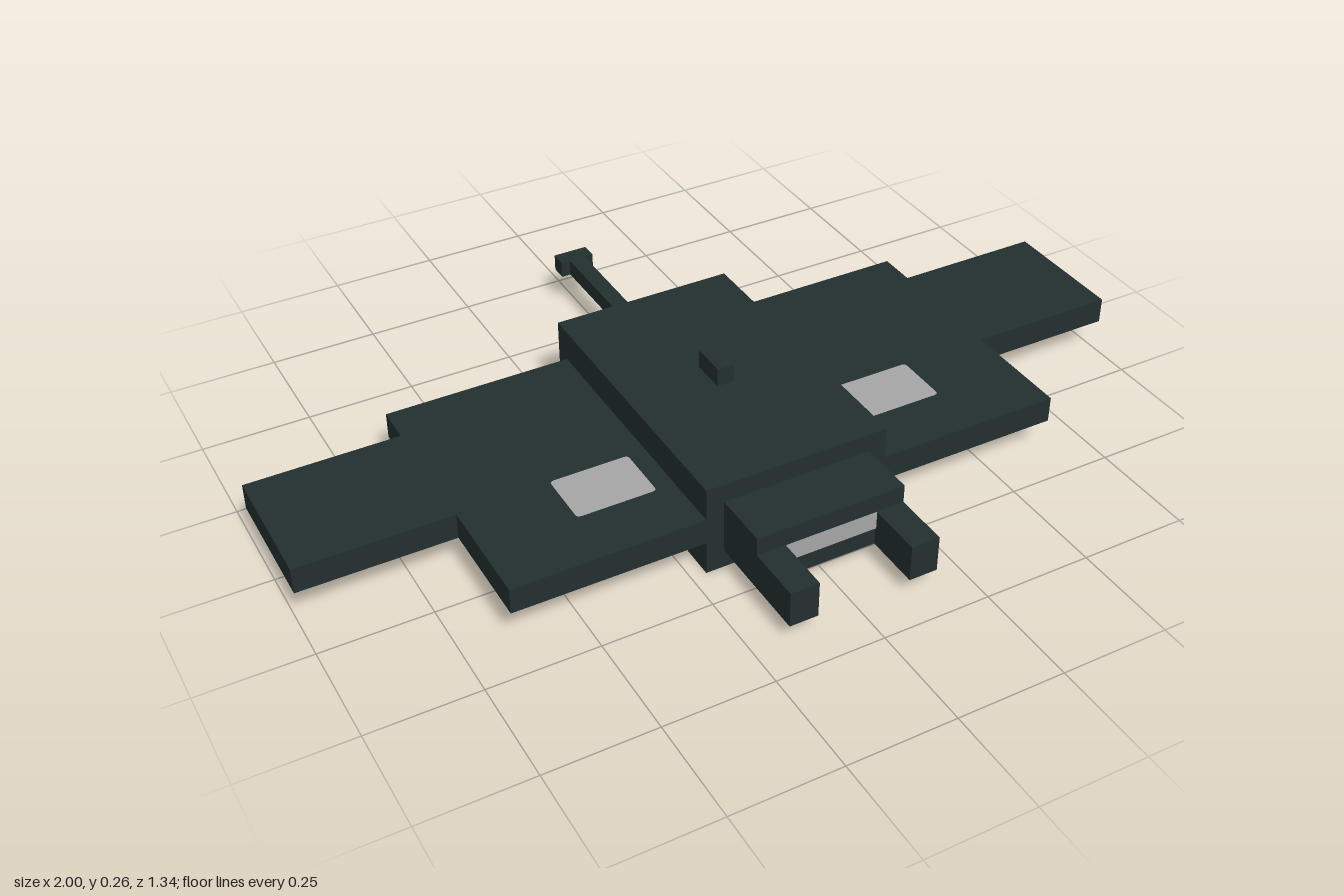
import * as THREE from 'three';

export function createModel() {
  const ray = new THREE.Group();
  ray.name = 'mantaRay';
  const skin = new THREE.MeshStandardMaterial({ color: 0x232f2f });
  skin.name = 'darkSkin';
  const pale = new THREE.MeshStandardMaterial({ color: 0xa6a6a6 });
  pale.name = 'paleGrey';

  // Box given by its limits; the underside may be pale
  function block(name, [x0, x1], [y0, y1], [z0, z1], paleBelly = false) {
    const geometry = new THREE.BoxGeometry(x1 - x0, y1 - y0, z1 - z0);
    const material = paleBelly ? [skin, skin, skin, pale, skin, skin] : skin;
    const mesh = new THREE.Mesh(geometry, material);
    mesh.position.set((x0 + x1) / 2, (y0 + y1) / 2, (z0 + z1) / 2);
    mesh.name = name;
    ray.add(mesh);
    return mesh;
  }

  // Flat patch with softened corners, facing +z
  function patch(name, w, h, r) {
    const s = new THREE.Shape();
    const a = w / 2, b = h / 2;
    s.moveTo(-a + r, -b);
    s.lineTo(a - r, -b);
    s.quadraticCurveTo(a, -b, a, -b + r);
    s.lineTo(a, b - r);
    s.quadraticCurveTo(a, b, a - r, b);
    s.lineTo(-a + r, b);
    s.quadraticCurveTo(-a, b, -a, b - r);
    s.lineTo(-a, -b + r);
    s.quadraticCurveTo(-a, -b, -a + r, -b);
    const mesh = new THREE.Mesh(new THREE.ShapeGeometry(s, 4), pale);
    mesh.name = name;
    ray.add(mesh);
    return mesh;
  }

  // Body, head and dorsal fin
  block('body', [-0.215, 0.215], [0, 0.216], [-0.28, 0.41], true);
  block('head', [-0.174, 0.174], [0.045, 0.172], [0.41, 0.542], true);
  block('dorsalFin', [-0.02, 0.02], [0.216, 0.26], [0.025, 0.108]);

  // Mouth
  patch('mouth', 0.216, 0.044, 0.002).position.set(0, 0.11, 0.545);

  // Tail
  block('tail', [-0.02, 0.02], [0.09, 0.13], [-0.632, -0.28], true);
  block('tailTip', [-0.042, 0.042], [0.09, 0.13], [-0.672, -0.632]);

  // Wings, head horns and back spots on both sides
  for (const side of [1, -1]) {
    const prefix = side > 0 ? 'left' : 'right';
    const span = (a, b) => (side > 0 ? [a, b] : [-b, -a]);
    block(prefix + 'InnerWing', span(0.215, 0.65), [0.08, 0.141], [-0.24, 0.41], true);
    block(prefix + 'OuterWing', span(0.65, 1), [0.08, 0.141], [-0.152, 0.15], true);
    block(prefix + 'Horn', span(0.108, 0.174), [0.045, 0.13], [0.542, 0.672]);
    const spot = patch(prefix + 'Spot', 0.182, 0.132, 0.01);
    spot.rotation.x = -Math.PI / 2;
    spot.position.set(side * 0.35, 0.144, 0.214);
  }
  return ray;
}
